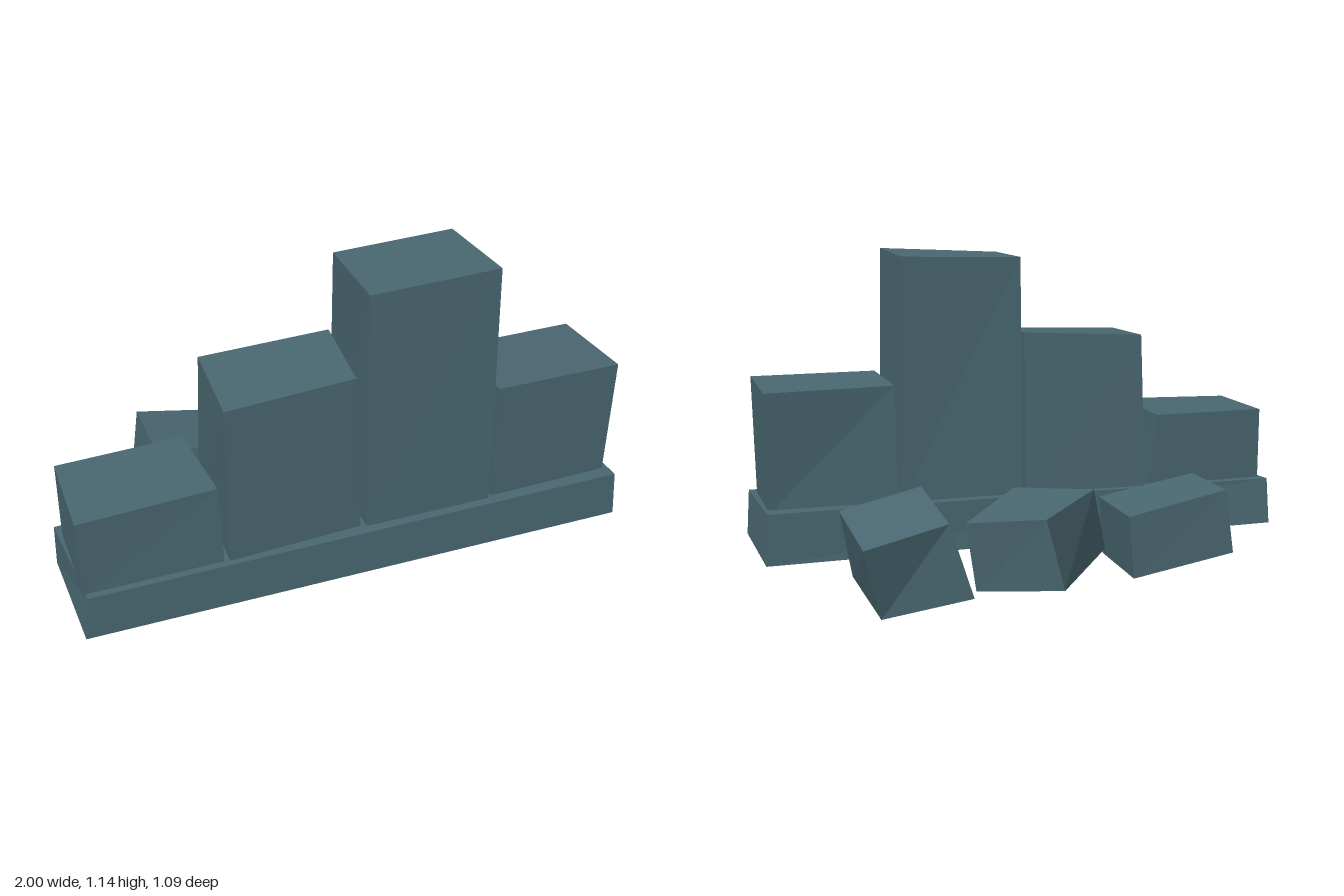
import * as THREE from 'three';

const slate = new THREE.MeshStandardMaterial({ color: 0x4a6872 });
slate.name = 'slate';

// Rough-hewn block: a box whose corners are moved to the given points.
// Each ring runs front -x, front +x, back +x, back -x.
function block(name, bottom, top) {
  const box = new THREE.BoxGeometry(1, 1, 1);
  const p = box.attributes.position;
  for (let i = 0; i < p.count; i++) {
    const ring = p.getY(i) > 0 ? top : bottom;
    const right = p.getX(i) > 0;
    const corner = p.getZ(i) > 0 ? (right ? 1 : 0) : (right ? 2 : 3);
    p.setXYZ(i, ...ring[corner]);
  }
  const geometry = box.toNonIndexed();
  geometry.computeVertexNormals();
  const mesh = new THREE.Mesh(geometry, slate);
  mesh.name = name;
  return mesh;
}

export function createModel() {
  const model = new THREE.Group();
  model.name = 'brokenWall';

  // Long foundation slab
  model.add(block('foundation',
    [[-0.995, 0.06, 0.535], [0.995, 0.057, 0.545], [0.985, 0.047, 0.085], [-1, 0.047, 0.087]],
    [[-0.975, 0.22, 0.53], [0.985, 0.229, 0.54], [0.975, 0.233, 0.088], [-1, 0.222, 0.112]]));

  // Four upright blocks of different heights
  const wall = new THREE.Group();
  wall.name = 'wall';
  wall.add(
    block('lowBlock',
      [[-0.985, 0.21, 0.505], [-0.505, 0.21, 0.505], [-0.5, 0.21, 0.14], [-0.98, 0.21, 0.155]],
      [[-0.99, 0.5, 0.505], [-0.515, 0.514, 0.495], [-0.53, 0.5, 0.135], [-0.98, 0.497, 0.15]]),
    block('tallBlock',
      [[-0.485, 0.21, 0.51], [-0.005, 0.21, 0.49], [0, 0.21, 0.15], [-0.48, 0.21, 0.13]],
      [[-0.488, 0.806, 0.505], [-0.03, 0.822, 0.487], [0, 0.834, 0.165], [-0.465, 0.812, 0.15]]),
    block('tallestBlock',
      [[0.015, 0.21, 0.5], [0.485, 0.21, 0.505], [0.49, 0.21, 0.145], [0.015, 0.21, 0.145]],
      [[0.008, 1.12, 0.495], [0.467, 1.14, 0.505], [0.47, 1.123, 0.135], [0.02, 1.115, 0.15]]),
    block('middleBlock',
      [[0.5, 0.21, 0.495], [0.96, 0.21, 0.49], [0.965, 0.21, 0.16], [0.495, 0.21, 0.145]],
      [[0.5, 0.672, 0.495], [0.97, 0.671, 0.493], [0.97, 0.655, 0.137], [0.5, 0.66, 0.15]]));
  model.add(wall);

  // Three fallen blocks lying tilted behind the wall
  const rubble = new THREE.Group();
  rubble.name = 'rubble';
  rubble.add(
    block('fallenBlockRight',
      [[-0.6, 0.095, -0.065], [-0.22, 0.035, -0.085], [-0.22, 0.018, -0.38], [-0.6, 0.08, -0.385]],
      [[-0.575, 0.313, -0.09], [-0.2, 0.25, -0.09], [-0.2, 0.24, -0.38], [-0.57, 0.31, -0.38]]),
    block('fallenBlockCentre',
      [[-0.175, 0.09, -0.22], [0.08, 0.062, -0.035], [0.33, 0.004, -0.305], [0.09, 0.047, -0.53]],
      [[-0.125, 0.313, -0.235], [0.1, 0.29, -0.012], [0.37, 0.25, -0.32], [0.15, 0.29, -0.515]]),
    block('fallenBlockLeft',
      [[0.43, 0.085, -0.105], [0.72, 0.045, -0.125], [0.7, 0, -0.49], [0.4, 0.05, -0.525]],
      [[0.48, 0.35, -0.15], [0.765, 0.283, -0.142], [0.765, 0.245, -0.545], [0.48, 0.303, -0.518]]));
  model.add(rubble);

  return model;
}
